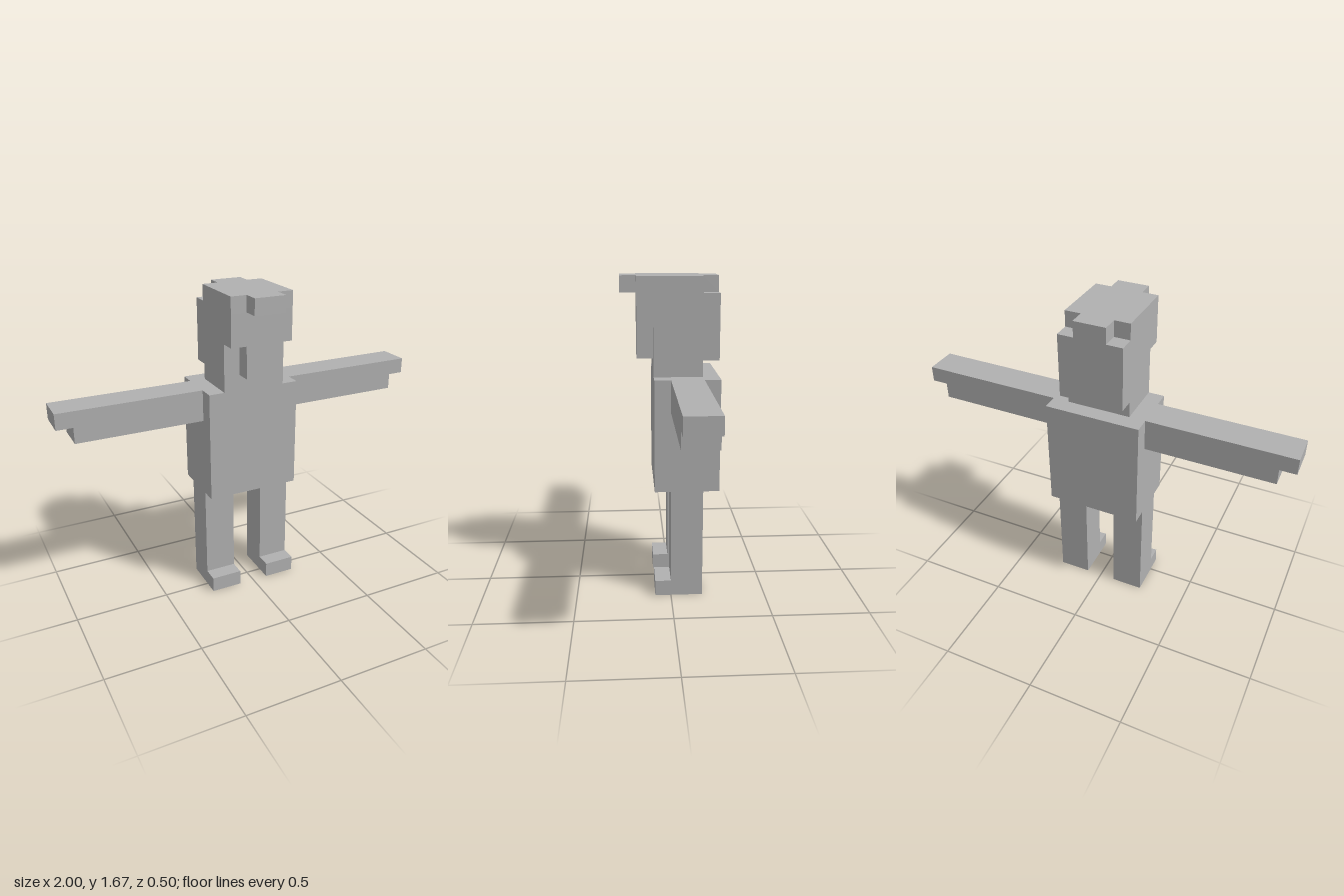
import * as THREE from 'three';

const U = 1 / 12; // one voxel

// Extrudes a profile given in voxels
function extrude(points, depth) {
  const shape = new THREE.Shape(points.map(([a, b]) => new THREE.Vector2(a * U, b * U)));
  return new THREE.ExtrudeGeometry(shape, { depth: depth * U, bevelEnabled: false });
}

// Horizontal layer: outline in (x, z), from height y0 to y1
function layer(outline, y0, y1) {
  return extrude(outline.map(([x, z]) => [x, -z]), y1 - y0)
    .rotateX(-Math.PI / 2).translate(0, y0 * U, 0);
}

export function createModel() {
  const model = new THREE.Group();
  model.name = 'blockFigure';
  const grey = new THREE.MeshStandardMaterial({ color: 0xb0b0b0 });
  grey.name = 'grey';

  const add = (name, geometry, parent = model) => {
    const mesh = new THREE.Mesh(geometry, grey);
    mesh.name = name;
    parent.add(mesh);
  };
  const rect = (x, z0, z1) => [[-x, z0], [x, z0], [x, z1], [-x, z1]];

  add('torso', layer(rect(3, -3, 1), 7, 14));

  // Head, stacked from the neck up
  const head = new THREE.Group();
  head.name = 'head';
  model.add(head);
  add('neck', layer(rect(2, -2, 1), 14, 15), head);
  // narrow chin in front of the cheeks
  add('jaw', layer([[-2, -3], [2, -3], [2, 1], [1, 1], [1, 2], [-1, 2], [-1, 1], [-2, 1]], 15, 17), head);
  add('face', layer(rect(2, -3, 2), 17, 19), head);
  // front peak and notched rear corners
  add('crown', layer([
    [-1, -3], [1, -3], [1, -2], [2, -2], [2, 2], [1, 2],
    [1, 3], [-1, 3], [-1, 2], [-2, 2], [-2, -2], [-1, -2],
  ], 19, 20), head);

  for (const [side, s] of [['left', 1], ['right', -1]]) {
    // Arm with a stepped hand, profile in (x, y)
    const arm = [[3, 12], [11, 12], [11, 13], [12, 13], [12, 14], [3, 14]];
    add(side + 'Arm', extrude(arm.map(([x, y]) => [s * x, y]), 2).translate(0, 0, -2 * U));

    // Leg with a protruding foot, profile in (z, y)
    const leg = [[-2, 0], [1, 0], [1, 1], [0, 1], [0, 7], [-2, 7]];
    add(side + 'Leg', extrude(leg, 2).rotateY(-Math.PI / 2).translate((s * 2 + 1) * U, 0, 0));
  }
  return model;
}
